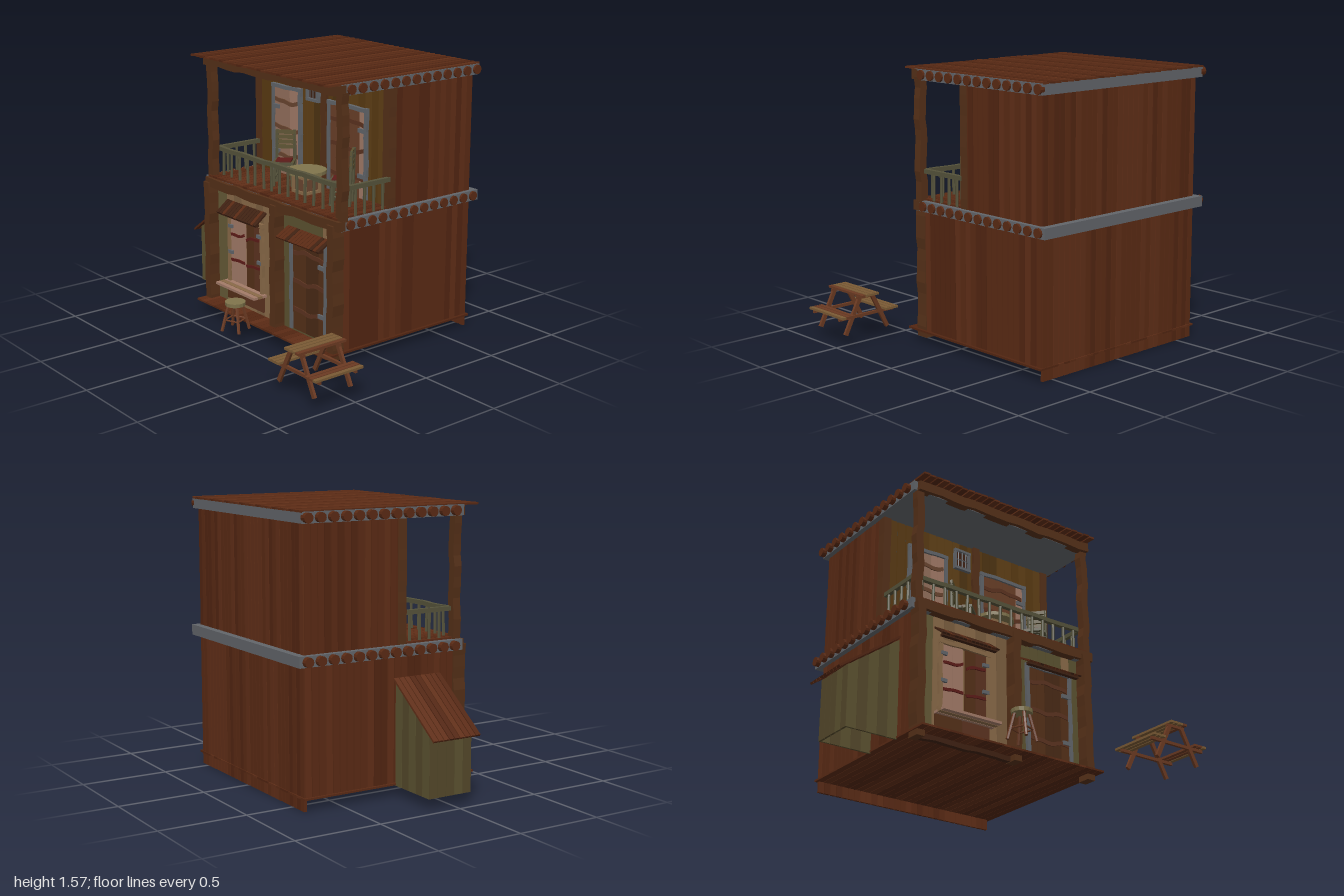
import * as THREE from 'three';

const C = { brown: 0x5a2a14, dark: 0x3f2112, post: 0x553018, grey: 0x62656a, olive: 0x5c5230, gold: 0x5a3a12,
  tan: 0x8a6a48, pink: 0xa37b68, rail: 0x55523a, red: 0x5e1c18, picnic: 0x6b3a22, top: 0x7a5a34, straw: 0x80744c };
const mats = {};
const mat = c => mats[c] ??= new THREE.MeshStandardMaterial({ color: c, flatShading: true, side: THREE.DoubleSide });
let seed = 7;
const rnd = () => (seed = (seed * 16807) % 2147483647) / 2147483647;
const jit = a => (rnd() - 0.5) * 2 * a;

const group = (parent, name) => {
  const g = new THREE.Group();
  g.name = name;
  parent.add(g);
  return g;
};
const put = (p, name, geo, c, x = 0, y = 0, z = 0) => {
  const m = new THREE.Mesh(geo, mat(c));
  m.name = name;
  m.position.set(x, y, z);
  p.add(m);
  return m;
};
// box given by its min and max corners
const box = (p, name, c, x0, x1, y0, y1, z0, z1) =>
  put(p, name, new THREE.BoxGeometry(x1 - x0, y1 - y0, z1 - z0), c, (x0 + x1) / 2, (y0 + y1) / 2, (z0 + z1) / 2);
// round bar between two points
function bar(p, name, c, a, b, r, sides = 6) {
  const A = new THREE.Vector3(...a), B = new THREE.Vector3(...b), d = B.clone().sub(A);
  const m = put(p, name, new THREE.CylinderGeometry(r, r, d.length(), sides), c);
  m.position.copy(A).add(B).multiplyScalar(0.5);
  m.quaternion.setFromUnitVectors(new THREE.Vector3(0, 1, 0), d.normalize());
  return m;
}
// rough-hewn timber: a box with a wavering long axis ('x' or 'y')
function timber(p, name, c, x0, x1, y0, y1, z0, z1, axis, amp = 0.006) {
  const g = new THREE.BoxGeometry(x1 - x0, y1 - y0, z1 - z0, axis === 'x' ? 16 : 1, axis === 'y' ? 12 : 1, 1);
  const q = g.attributes.position, ph = rnd() * 6;
  for (let i = 0; i < q.count; i++) {
    const t = axis === 'x' ? q.getX(i) : q.getY(i);
    const w = amp * (Math.sin(t * 22 + ph) + 0.5 * Math.sin(t * 47 + ph * 2));
    if (axis === 'x') q.setY(i, q.getY(i) + w); else q.setX(i, q.getX(i) + w);
  }
  g.computeVertexNormals();
  return put(p, name, g, c, (x0 + x1) / 2, (y0 + y1) / 2, (z0 + z1) / 2);
}
// n planks side by side along 'x' or 'z', filling a box, with gaps and uneven thickness
function planks(p, name, colors, n, axis, x0, x1, y0, y1, z0, z1, gap = 0.006, rough = 0) {
  const g = group(p, name), k = axis === 'x' ? (x1 - x0) / n : (z1 - z0) / n;
  for (let i = 0; i < n; i++) {
    const c = colors[Math.floor(rnd() * colors.length)], a = i * k + gap / 2, b = (i + 1) * k - gap / 2;
    const m = axis === 'x' ? box(g, 'plank', c, x0 + a, x0 + b, y0, y1, z0, z1) : box(g, 'plank', c, x0, x1, y0, y1, z0 + a, z0 + b);
    if (rough) m.rotation.z = jit(rough);
  }
  return g;
}
// flat frame around an opening facing +z
function frame(p, name, c, x0, x1, y0, y1, z, t = 0.022) {
  const g = group(p, name);
  timber(g, 'jamb', c, x0, x0 + t, y0, y1, z, z + 0.02, 'y', 0.002);
  timber(g, 'jamb', c, x1 - t, x1, y0, y1, z, z + 0.02, 'y', 0.002);
  timber(g, 'lintel', c, x0, x1, y1 - t, y1, z, z + 0.022, 'x', 0.002);
  return g;
}
// planked door or shutter with wavering braces and hinges
function door(p, name, colors, n, x0, x1, y0, y1, z, brace, hingeLeft) {
  const g = group(p, name), h = y1 - y0;
  planks(g, 'doorPlanks', colors, n, 'x', x0 + 0.02, x1 - 0.02, y0, y1 - 0.02, z, z + 0.01, 0.005);
  frame(g, 'doorFrame', C.grey, x0, x1, y0, y1, z);
  for (const f of [0.22, 0.52, 0.82]) timber(g, 'brace', brace, x0 + 0.03, x1 - 0.03, y0 + h * f - 0.012, y0 + h * f + 0.012, z + 0.008, z + 0.016, 'x', 0.008);
  const hx = hingeLeft ? x0 + 0.01 : x1 - 0.07;
  for (const f of [0.25, 0.75]) box(g, 'hinge', C.grey, hx, hx + 0.06, y0 + h * f - 0.012, y0 + h * f + 0.012, z + 0.01, z + 0.022);
}
// small sloped plank canopy
function canopy(p, x0, x1, y, z, rise) {
  const g = group(p, 'canopy');
  planks(g, 'canopyBoards', [C.brown, C.dark], 14, 'x', x0, x1, -0.005, 0.005, 0, 0.115, 0.004);
  g.position.set(0, y + rise, z);
  g.rotation.x = Math.asin(rise / 0.115);
  box(p, 'canopyBatten', C.dark, x0 + 0.01, x1 - 0.01, y - 0.01, y + 0.005, z + 0.06, z + 0.085);
}
function chair(p, x, z, ry) {
  const g = group(p, 'chair');
  for (const sx of [-1, 1]) {
    bar(g, 'frontLeg', C.rail, [sx * 0.055, 0, 0.05], [sx * 0.045, 0.13, 0.045], 0.01);
    bar(g, 'backLeg', C.rail, [sx * 0.055, 0, -0.055], [sx * 0.05, 0.31, -0.065], 0.01);
    bar(g, 'sideStretcher', C.rail, [sx * 0.05, 0.05, -0.05], [sx * 0.05, 0.05, 0.05], 0.006);
  }
  planks(g, 'seat', [C.rail, C.olive], 4, 'z', -0.06, 0.06, 0.125, 0.142, -0.06, 0.06, 0.005);
  box(g, 'cushion', C.red, -0.045, 0.045, 0.142, 0.15, -0.04, 0.045);
  for (let i = 0; i < 4; i++) box(g, 'backSlat', C.olive, -0.06, 0.06, 0.2 + i * 0.029, 0.222 + i * 0.029, -0.068, -0.056);
  g.position.set(x, 0.84, z);
  g.rotation.y = ry;
}

export function createModel() {
  const root = new THREE.Group();
  const X0 = -0.62, X1 = 0.57, B = [C.brown, C.brown, 0x522511, 0x602e17];

  // ground floor boards and the sill beam under the front
  planks(root, 'floor', B, 28, 'x', -0.635, 0.59, 0.064, 0.075, -0.73, 0.36, 0.002);
  timber(root, 'sillBeam', C.dark, -0.6, 0.03, 0.035, 0.064, 0.23, 0.26, 'x', 0.003);

  // side and back walls: grey core behind vertical planks
  for (const [name, y0, y1, zf, n, base] of [['lowerWalls', 0.075, 0.775, 0.22, 22, 0], ['upperWalls', 0.83, 1.51, -0.11, 15, 0.83]]) {
    const g = group(root, name);
    box(g, 'core', 0x45413c, X0 + 0.01, X1 - 0.01, y0, y1, -0.71, zf);
    planks(g, 'rightSidePlanks', B, n, 'z', X0 - 0.002, X0 + 0.012, y0, y1, -0.72, zf);
    planks(g, 'leftSidePlanks', B, n, 'z', X1 - 0.012, X1 + 0.002, y0, y1, -0.72, zf);
    planks(g, 'backPlanks', B, 30, 'x', X0, X1, base, y1, -0.724, -0.708);
  }
  for (const x of [X0, X1 - 0.04]) timber(root, 'upperCornerPost', C.post, x - 0.004, x + 0.044, 0.83, 1.51, -0.145, -0.09, 'y', 0.001);

  // floor slabs with rows of log ends sticking out on both sides
  for (const [y, zb] of [[0.77, -0.765], [1.505, -0.745]]) {
    const g = group(root, 'joistLayer');
    box(g, 'slab', C.grey, -0.652, 0.597, y, y + 0.06, zb, 0.262);
    for (let i = 0; i < 13; i++) for (const [a, b] of [[-0.68, -0.64], [0.58, 0.61]])
      bar(g, 'logEnd', C.brown, [a, y + 0.03, 0.2 - i * 0.0768], [b, y + 0.03, 0.2 - i * 0.0768], 0.027, 12);
    timber(g, 'frontBeam', C.post, -0.63, 0.6, y, y + 0.055, 0.235, 0.285, 'x', 0.004);
  }

  // roof boards with ragged front ends, and the balcony deck
  for (let i = 0; i < 28; i++) {
    const x = -0.65 + i * 0.0446;
    const m = box(root, 'roofBoard', B[i % 4], x, x + 0.038, 1.561, 1.572, -0.75, 0.352 + jit(0.006));
    m.rotation.z = 0.06;
  }
  planks(root, 'balconyDeck', B, 28, 'x', X0, X1, 0.828, 0.84, -0.11, 0.27, 0.005);

  // front posts
  for (const [x0, x1] of [[-0.63, -0.58], [0.01, 0.06], [0.52, 0.572]])
    timber(root, 'lowerPost', C.post, x0, x1, 0.03, 0.8, 0.22, 0.298, 'y', 0.004);
  for (const x of [-0.605, 0.578]) timber(root, 'upperPost', C.post, x - 0.023, x + 0.023, 0.82, 1.52, 0.215, 0.263, 'y', 0.005);
  timber(root, 'upperWallPost', C.post, 0.005, 0.05, 0.84, 1.51, -0.11, -0.08, 'y', 0.004);

  // balcony railing
  const rail = group(root, 'railing');
  timber(rail, 'frontRail', C.rail, -0.59, 0.565, 0.985, 1.01, 0.19, 0.215, 'x', 0.002);
  for (let i = 0; i < 15; i++) bar(rail, 'baluster', C.rail, [-0.55 + i * 0.077 + jit(0.006), 0.835, 0.203], [-0.55 + i * 0.077, 0.99, 0.203], 0.009);
  for (const x of [-0.6, 0.57]) {
    box(rail, 'sideRail', C.rail, x - 0.012, x + 0.012, 0.985, 1.01, -0.1, 0.21);
    for (let i = 0; i < 4; i++) bar(rail, 'baluster', C.rail, [x, 0.835, 0.14 - i * 0.065], [x, 0.99, 0.14 - i * 0.065], 0.009);
  }

  // upper front: planks, door, small barred window, shuttered window
  planks(root, 'upperFrontPlanks', [C.gold, C.gold, 0x4f3411, 0x604016], 20, 'x', X0 + 0.04, X1 - 0.04, 0.84, 1.51, -0.112, -0.1, 0.006, 0.004);
  door(root, 'balconyDoor', [C.pink, 0x94705c], 5, -0.455, -0.18, 0.84, 1.38, -0.1, 0x6a4630, true);
  door(root, 'balconyShutters', [C.pink, 0x6a4028, 0x6a4028], 6, 0.06, 0.4, 0.84, 1.36, -0.1, 0x5c3320, false);
  const vent = group(root, 'barredWindow');
  box(vent, 'pane', C.dark, -0.125, -0.02, 1.335, 1.45, -0.1, -0.095);
  frame(vent, 'ventFrame', C.grey, -0.13, -0.015, 1.33, 1.455, -0.1, 0.015);
  box(vent, 'ledge', C.grey, -0.13, -0.015, 1.325, 1.342, -0.1, -0.078);
  for (let i = 0; i < 3; i++) bar(vent, 'bar', C.grey, [-0.1 + i * 0.027, 1.335, -0.088], [-0.1 + i * 0.027, 1.45, -0.088], 0.004);
  bar(vent, 'bar', C.grey, [-0.125, 1.39, -0.088], [-0.02, 1.39, -0.088], 0.004);

  // lower front: planked walls
  planks(root, 'lowerFrontPlanks', [C.olive, 0x655a36], 2, 'x', -0.58, -0.49, 0.075, 0.775, 0.218, 0.232);
  planks(root, 'lowerFrontPlanks', [C.tan, 0x7c5f40], 7, 'x', -0.49, 0.01, 0.075, 0.775, 0.218, 0.232, 0.006, 0.003);
  planks(root, 'lowerFrontPlanks', [C.olive, 0x655a36, C.olive, C.tan], 8, 'x', 0.06, 0.52, 0.075, 0.775, 0.218, 0.232, 0.006, 0.003);

  // shop window with one light and one dark half, sill and lower panel
  const win = group(root, 'frontWindow');
  planks(win, 'lightShutter', [C.pink, 0x94705c], 2, 'x', -0.44, -0.295, 0.22, 0.62, 0.232, 0.242);
  planks(win, 'darkShutter', [0x5c3320, C.post], 2, 'x', -0.285, -0.14, 0.22, 0.62, 0.232, 0.242);
  frame(win, 'windowFrame', C.tan, -0.46, -0.12, 0.21, 0.64, 0.232);
  for (const y of [0.36, 0.52]) {
    timber(win, 'redBrace', C.red, -0.43, -0.3, y - 0.008, y + 0.008, 0.242, 0.25, 'x', 0.008).rotation.z = 0.15;
    timber(win, 'brace', C.red, -0.28, -0.15, y - 0.008, y + 0.008, 0.242, 0.25, 'x', 0.008).rotation.z = 0.2;
    for (const x of [-0.45, -0.17]) box(win, 'hinge', C.grey, x, x + 0.04, y + 0.03, y + 0.05, 0.242, 0.256);
  }
  planks(win, 'sillBoard', [C.tan, C.pink], 3, 'z', -0.48, -0.1, 0.2, 0.215, 0.232, 0.33, 0.004);
  planks(win, 'lowerPanel', [C.post, 0x5c3320], 2, 'x', -0.48, -0.12, 0.1, 0.2, 0.232, 0.244);
  canopy(root, -0.485, -0.1, 0.645, 0.22, 0.07);

  // front door
  door(root, 'frontDoor', [C.post, 0x4a2a16], 5, 0.135, 0.46, 0.09, 0.66, 0.232, 0x5c3320, false);
  canopy(root, 0.1, 0.48, 0.635, 0.22, 0.055);

  // lean-to shed with a sloped board roof, open underneath
  const shed = group(root, 'leanTo'), slope = x => 0.365 + (x + 1) * 0.73;
  for (let i = 0; i < 5; i++) {
    const a = -0.94 + i * 0.063, b = a + 0.06;
    const s = new THREE.Shape([[a, 0.06], [b, 0.06], [b, slope(b)], [a, slope(a)]].map(q => new THREE.Vector2(...q)));
    for (const z of [-0.16, 0.1]) put(shed, 'wallPlank', new THREE.ExtrudeGeometry(s, { depth: 0.012, bevelEnabled: false }), [C.olive, 0x54482a][i % 2], 0, 0, z);
  }
  planks(shed, 'endPlanks', [C.olive, 0x54482a], 5, 'z', -0.942, -0.93, 0.06, 0.41, -0.16, 0.112, 0.003);
  const sr = planks(shed, 'shedRoof', B, 9, 'z', 0, 0.458, -0.006, 0.006, -0.178, 0.128, 0.005);
  sr.position.set(-1, 0.38, 0);
  sr.rotation.z = Math.atan2(0.27, 0.37);

  // balcony chairs and the round table on a crate
  chair(root, -0.16, 0.055, 0.75);
  chair(root, 0.355, 0.06, -0.85);
  const tb = group(root, 'balconyTable');
  box(tb, 'crate', 0x6a4630, 0, 0.1, 0.84, 0.94, 0.01, 0.11);
  for (const y of [0.845, 0.935]) box(tb, 'crateBand', C.tan, -0.008, 0.112, y - 0.008, y + 0.012, 0, 0.12);
  for (const x of [0, 0.104]) for (const z of [0.008, 0.112]) box(tb, 'crateCorner', C.tan, x - 0.008, x + 0.008, 0.84, 0.945, z - 0.008, z + 0.008);
  put(tb, 'tableTop', new THREE.CylinderGeometry(0.115, 0.115, 0.02, 18), C.straw, 0.052, 0.965, 0.06);

  // stool in front of the window
  const st = group(root, 'stool');
  put(st, 'stoolSeat', new THREE.CylinderGeometry(0.06, 0.058, 0.022, 14), C.straw, 0, 0.227, 0);
  for (let i = 0; i < 4; i++) {
    const a = 0.4 + i * Math.PI / 2, c = Math.cos(a), s = Math.sin(a);
    bar(st, 'stoolLeg', C.picnic, [c * 0.08, 0.066, s * 0.08], [c * 0.04, 0.22, s * 0.04], 0.01);
    bar(st, 'stoolRung', C.picnic, [c * 0.062, 0.13, s * 0.062], [-s * 0.062, 0.13, c * 0.062], 0.005);
  }
  st.position.set(-0.08, 0, 0.475);

  // picnic table
  const pt = group(root, 'picnicTable');
  planks(pt, 'tabletop', [C.top, C.picnic], 4, 'x', 0.735, 0.86, 0.275, 0.288, 0.44, 0.76, 0.006);
  for (const x of [0.6, 0.905]) planks(pt, 'bench', [C.top, C.picnic], 3, 'x', x, x + 0.092, 0.172, 0.185, 0.44, 0.76, 0.006);
  for (const z of [0.485, 0.725]) {
    box(pt, 'benchSupport', C.picnic, 0.61, 0.99, 0.155, 0.172, z - 0.008, z + 0.008);
    box(pt, 'topSupport', C.picnic, 0.735, 0.86, 0.26, 0.275, z - 0.008, z + 0.008);
    for (const s of [-1, 1]) {
      const leg = box(pt, 'leg', C.picnic, -0.012, 0.012, -0.118, 0.118, -0.008, 0.008);
      leg.position.set(0.798 + s * 0.093, 0.17, z);
      leg.rotation.z = s * 0.47;
    }
  }
  return root;
}
